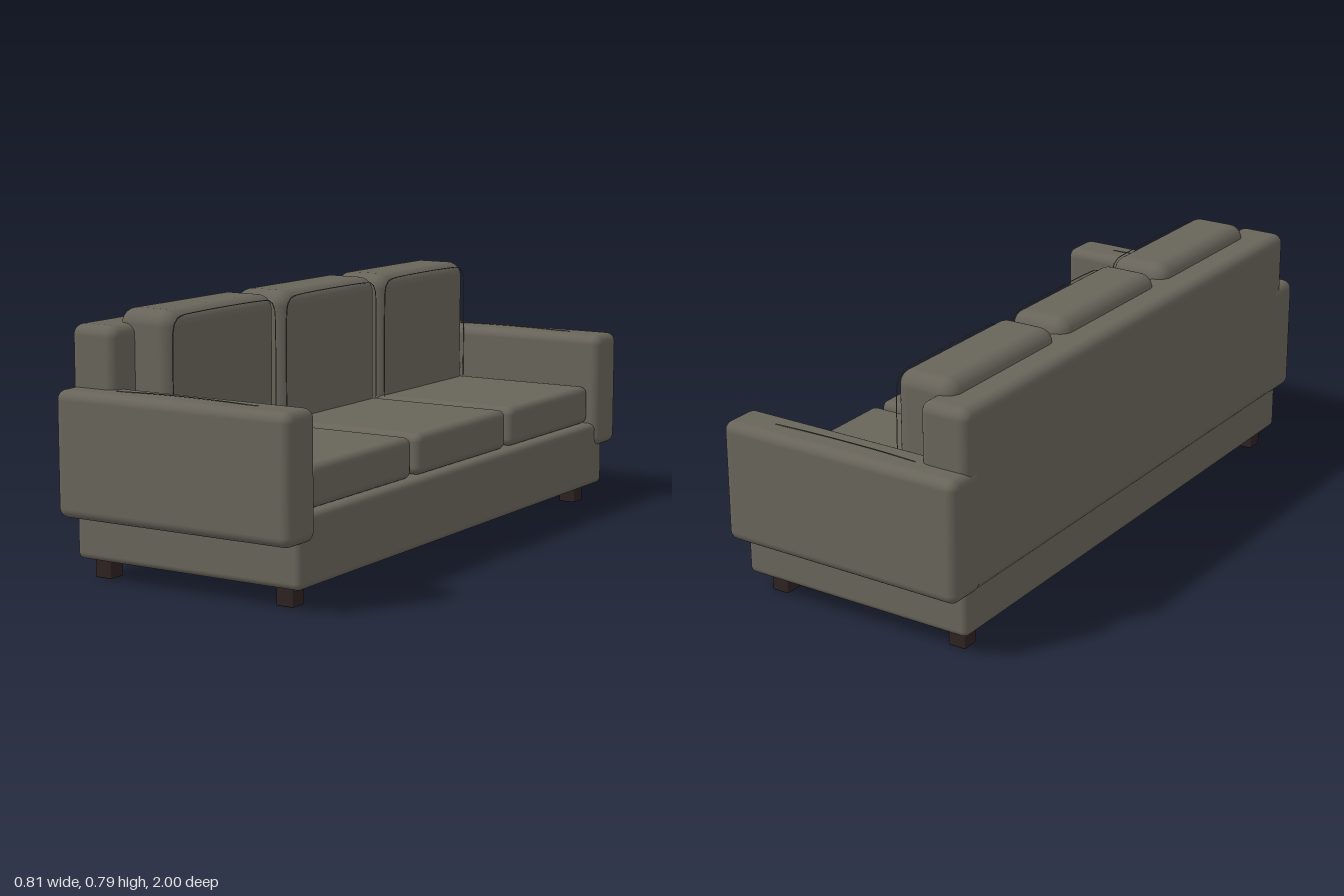
import * as THREE from 'three';
import { RoundedBoxGeometry } from 'three/addons/geometries/RoundedBoxGeometry.js';

const fabric = new THREE.MeshStandardMaterial({ color: 0x68645a });
fabric.name = 'greyFabric';
const wood = new THREE.MeshStandardMaterial({ color: 0x2e2222 });
wood.name = 'darkWood';

// Rounded block given by its lower and upper limits on each axis
function block(name, [x0, x1], [y0, y1], [z0, z1], radius, material = fabric) {
  const geometry = new RoundedBoxGeometry(x1 - x0, y1 - y0, z1 - z0, 5, radius);
  const mesh = new THREE.Mesh(geometry, material);
  mesh.position.set((x0 + x1) / 2, (y0 + y1) / 2, (z0 + z1) / 2);
  mesh.name = name;
  return mesh;
}

// Thin sewn cord along a curve
function cord(name, points, closed) {
  const curve = new THREE.CatmullRomCurve3(points, closed, 'centripetal');
  const mesh = new THREE.Mesh(new THREE.TubeGeometry(curve, 80, 0.0015, 5, closed), fabric);
  mesh.name = name;
  return mesh;
}

// Rounded rectangle in the plane x, for the cord round a cushion front
function cushionOutline(x, [y0, y1], [z0, z1], r) {
  const points = [];
  const corners = [[y1 - r, z1 - r, 0], [y1 - r, z0 + r, 1], [y0 + r, z0 + r, 2], [y0 + r, z1 - r, 3]];
  for (const [y, z, quarter] of corners) {
    for (let i = 0; i <= 4; i++) {
      const a = (quarter + i / 4) * Math.PI / 2;
      points.push(new THREE.Vector3(x, y + r * Math.sin(a), z + r * Math.cos(a)));
    }
  }
  return points;
}

export function createModel() {
  const sofa = new THREE.Group();
  sofa.name = 'sofa';

  // Frame
  sofa.add(block('base', [-0.39, 0.39], [0.06, 0.27], [-0.925, 0.925], 0.02));
  sofa.add(block('backrest', [-0.4, -0.24], [0.19, 0.748], [-0.928, 0.925], 0.032));

  // Arms with a seam along the top
  for (const side of [-1, 1]) {
    const z = side * 0.928;
    sofa.add(block(side > 0 ? 'leftArm' : 'rightArm', [-0.404, 0.404], [0.192, 0.566],
      [z - 0.07, z + 0.07], 0.03));
    sofa.add(cord('armSeam', [-0.23, -0.1, 0.1, 0.26].map(
      (x, i) => new THREE.Vector3(x, i % 3 ? 0.57 : 0.566, z)), false));
  }

  // Three seat and back cushions
  for (const z of [-0.592, -0.02, 0.558]) {
    const span = [z - 0.27, z + 0.27];
    sofa.add(block('seatCushion', [-0.26, 0.367], [0.27, 0.395], span, 0.024));
    sofa.add(block('backCushion', [-0.308, -0.112], [0.3, 0.79], span, 0.046));
    sofa.add(cord('cushionPiping',
      cushionOutline(-0.112, [0.33, 0.775], [z - 0.257, z + 0.257], 0.045), true));
  }

  // Legs
  for (const x of [-0.327, 0.309]) {
    for (const z of [-0.853, 0.853]) {
      sofa.add(block('leg', [x - 0.029, x + 0.029], [0, 0.07], [z - 0.029, z + 0.029], 0.004, wood));
    }
  }
  return sofa;
}
